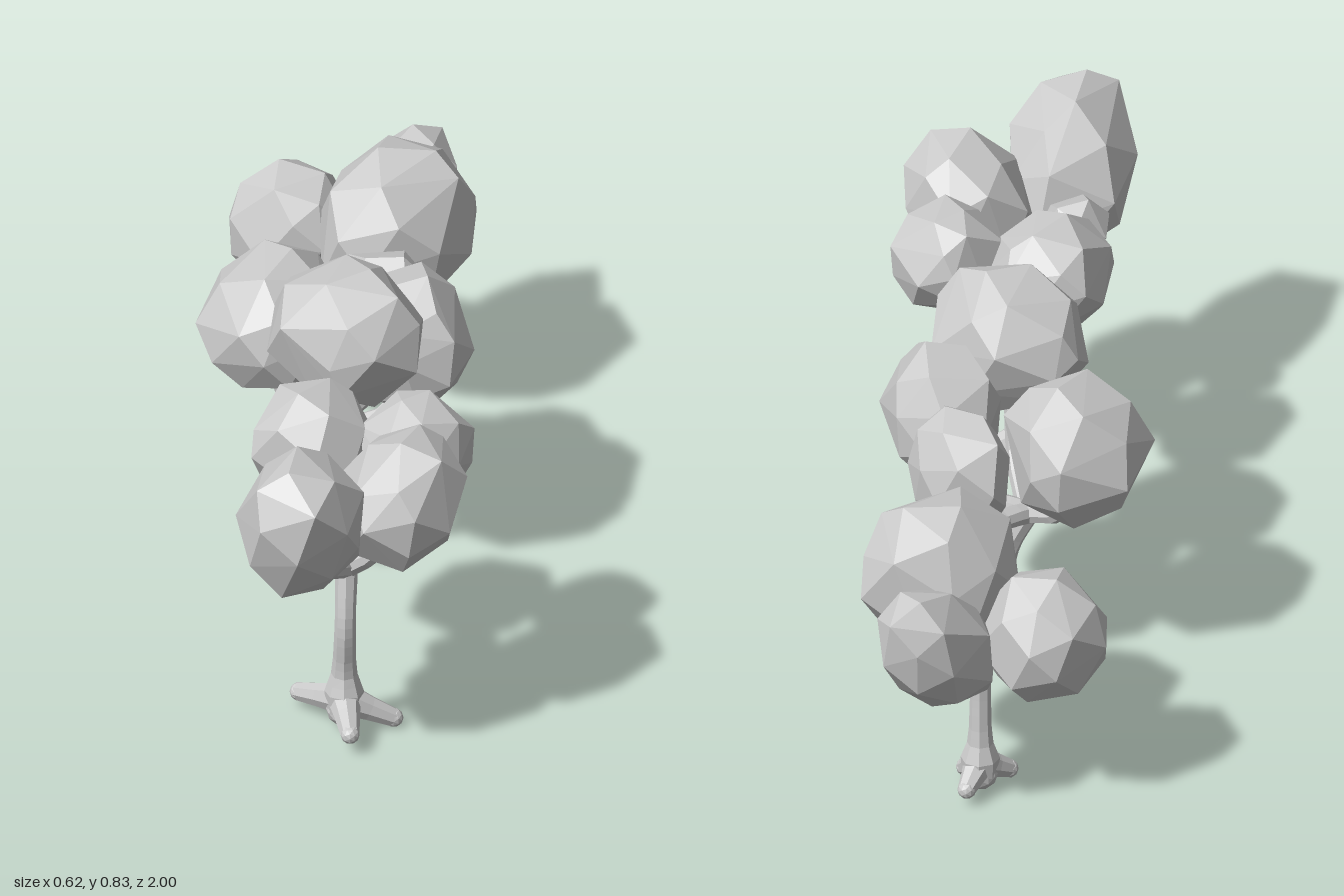
import * as THREE from 'three';
import { ConvexGeometry } from 'three/addons/geometries/ConvexGeometry.js';

const material = new THREE.MeshStandardMaterial({ color: 0xcccccc, flatShading: true });
const vec = (x, y, z) => new THREE.Vector3(x, y, z);
const upright = vec(0, 0, 0);

function seeded(seed) {
  let s = seed * 7919 + 17;
  return () => (s = (s * 16807) % 2147483647) / 2147483647;
}

// Faceted clump of leaves: a jittered spiral sphere fitted to a center and radii.
// lean holds the shear of x by height, of x by depth and of z by height.
function foliage(center, radii, lean, seed) {
  const rand = seeded(seed);
  const turn = rand() * Math.PI * 2;
  const count = radii.x < 0.1 ? 15 : 26;
  const points = [];
  for (let i = 0; i < count; i++) {
    const y = 1 - (2 * (i + 0.5)) / count;
    const a = i * 2.4 + turn + (rand() - 0.5) * 0.6;
    const r = Math.sqrt(1 - y * y);
    const p = vec(Math.cos(a) * r, y, Math.sin(a) * r).multiplyScalar(0.96 + rand() * 0.1);
    points.push(vec(p.x + lean.x * p.y + lean.y * p.z, p.y, p.z + lean.z * p.y));
  }
  const box = new THREE.Box3().setFromPoints(points);
  const middle = box.getCenter(vec());
  const half = box.getSize(vec()).multiplyScalar(0.5);
  points.forEach((p) => p.sub(middle).divide(half).multiply(radii).add(center));
  const mesh = new THREE.Mesh(new ConvexGeometry(points), material);
  mesh.name = 'foliage';
  return mesh;
}

// Tapered limb along a smooth path, radii spread evenly along it, with rounded tips
function limb(name, path, radii, steps = 8, sides = 8) {
  const curve = new THREE.CatmullRomCurve3(path);
  const geo = new THREE.TubeGeometry(curve, steps, 1, sides);
  const pos = geo.attributes.position;
  const v = vec();
  for (let i = 0; i <= steps; i++) {
    const center = curve.getPointAt(i / steps);
    const t = (i / steps) * (radii.length - 1);
    const k = Math.min(Math.floor(t), radii.length - 2);
    const r = THREE.MathUtils.lerp(radii[k], radii[k + 1], t - k);
    for (let j = 0; j <= sides; j++) {
      const n = i * (sides + 1) + j;
      v.fromBufferAttribute(pos, n).sub(center).multiplyScalar(r).add(center);
      pos.setXYZ(n, v.x, v.y, v.z);
    }
  }
  geo.computeVertexNormals();
  const group = new THREE.Group();
  group.name = name;
  group.add(new THREE.Mesh(geo, material));
  [[0, radii[0]], [1, radii[radii.length - 1]]].forEach(([t, r]) => {
    const tip = new THREE.Mesh(new THREE.IcosahedronGeometry(r, 1), material);
    tip.name = name + 'Tip';
    tip.position.copy(curve.getPointAt(t));
    group.add(tip);
  });
  return group;
}

// Tree from its base, fork, sideways trunk bend, root tips, branch elbow (share of the
// way out and up) and leaf clumps
function tree({ name, base, fork, bend, roots, out, up, clumps }, index) {
  const group = new THREE.Group();
  group.name = name;

  // Trunk flares at the base and bends below the fork
  const waist = base.clone().setY(0.14);
  const knee = waist.clone().lerp(fork, 0.5).add(bend);
  group.add(limb('trunk', [base, waist, knee, fork],
    [0.04, 0.043, 0.029, 0.025, 0.024, 0.023, 0.023, 0.024, 0.025], 16));

  // Roots slope from the flare down to their tips
  roots.forEach((tip) => {
    const start = base.clone().setY(0.075);
    const bump = start.clone().lerp(tip, 0.5);
    group.add(limb('root', [start, bump, tip], [0.038, 0.028, 0.021], 6));
  });

  // Each branch runs outward, then turns up into its clump
  clumps.forEach(([center, radii, lean], i) => {
    const elbow = fork.clone().lerp(center, out);
    elbow.y = THREE.MathUtils.lerp(fork.y, center.y, up);
    group.add(limb('branch', [fork, elbow, center], [0.026, 0.02, 0.017]));
    group.add(foliage(center, radii, lean, index * 10 + 21 + i));
  });
  return group;
}

function frontTree() {
  return {
    name: 'frontTree',
    base: vec(0.03, 0.05, 0.62),
    fork: vec(0.035, 0.405, 0.61),
    bend: vec(0, 0, 0.022),
    roots: [vec(0.045, 0.05, 0.73), vec(0.138, 0.022, 0.61), vec(-0.07, 0.037, 0.53)],
    out: 0.55,
    up: 0.3,
    clumps: [
      [vec(-0.062, 0.645, 0.825), vec(0.14, 0.185, 0.175), vec(0, -0.1, 0.3)],
      [vec(0.155, 0.63, 0.685), vec(0.145, 0.16, 0.155), vec(0.2, 0, 0)],
      [vec(-0.04, 0.61, 0.425), vec(0.135, 0.137, 0.145), upright],
      [vec(0.185, 0.618, 0.46), vec(0.125, 0.122, 0.12), upright],
      [vec(-0.077, 0.605, 0.635), vec(0.075, 0.07, 0.07), upright],
    ],
  };
}

function middleTree() {
  return {
    name: 'middleTree',
    base: vec(0.03, 0.05, -0.095),
    fork: vec(-0.03, 0.32, -0.1),
    bend: vec(0.012, 0, 0),
    roots: [vec(0.09, 0.035, -0.08), vec(0.02, 0.037, -0.155), vec(-0.03, 0.035, -0.045)],
    out: 0.7,
    up: 0.2,
    clumps: [
      [vec(-0.145, 0.55, -0.19), vec(0.165, 0.16, 0.17), upright],
      [vec(0.02, 0.665, 0.06), vec(0.17, 0.165, 0.16), vec(0, 0.15, 0)],
      [vec(0.165, 0.565, -0.09), vec(0.135, 0.165, 0.155), vec(0, 0.2, 0)],
      [vec(0.112, 0.52, -0.265), vec(0.113, 0.152, 0.125), vec(0, 0.35, 0)],
    ],
  };
}

function backTree() {
  return {
    name: 'backTree',
    base: vec(0.03, 0.05, -0.75),
    fork: vec(0.03, 0.35, -0.74),
    bend: upright,
    roots: [vec(-0.03, 0.037, -0.71), vec(0.055, 0.04, -0.81), vec(0.065, 0.037, -0.71)],
    out: 0.55,
    up: 0.3,
    clumps: [
      [vec(0.12, 0.503, -0.66), vec(0.17, 0.182, 0.17), vec(0, -0.15, 0)],
      [vec(-0.11, 0.43, -0.79), vec(0.14, 0.15, 0.13), upright],
      [vec(0.12, 0.43, -0.86), vec(0.125, 0.16, 0.14), vec(0.4, -0.35, -0.4)],
    ],
  };
}

export function createModel() {
  const model = new THREE.Group();
  model.name = 'treeRow';
  [frontTree(), middleTree(), backTree()].forEach((spec, i) => model.add(tree(spec, i)));
  return model;
}
